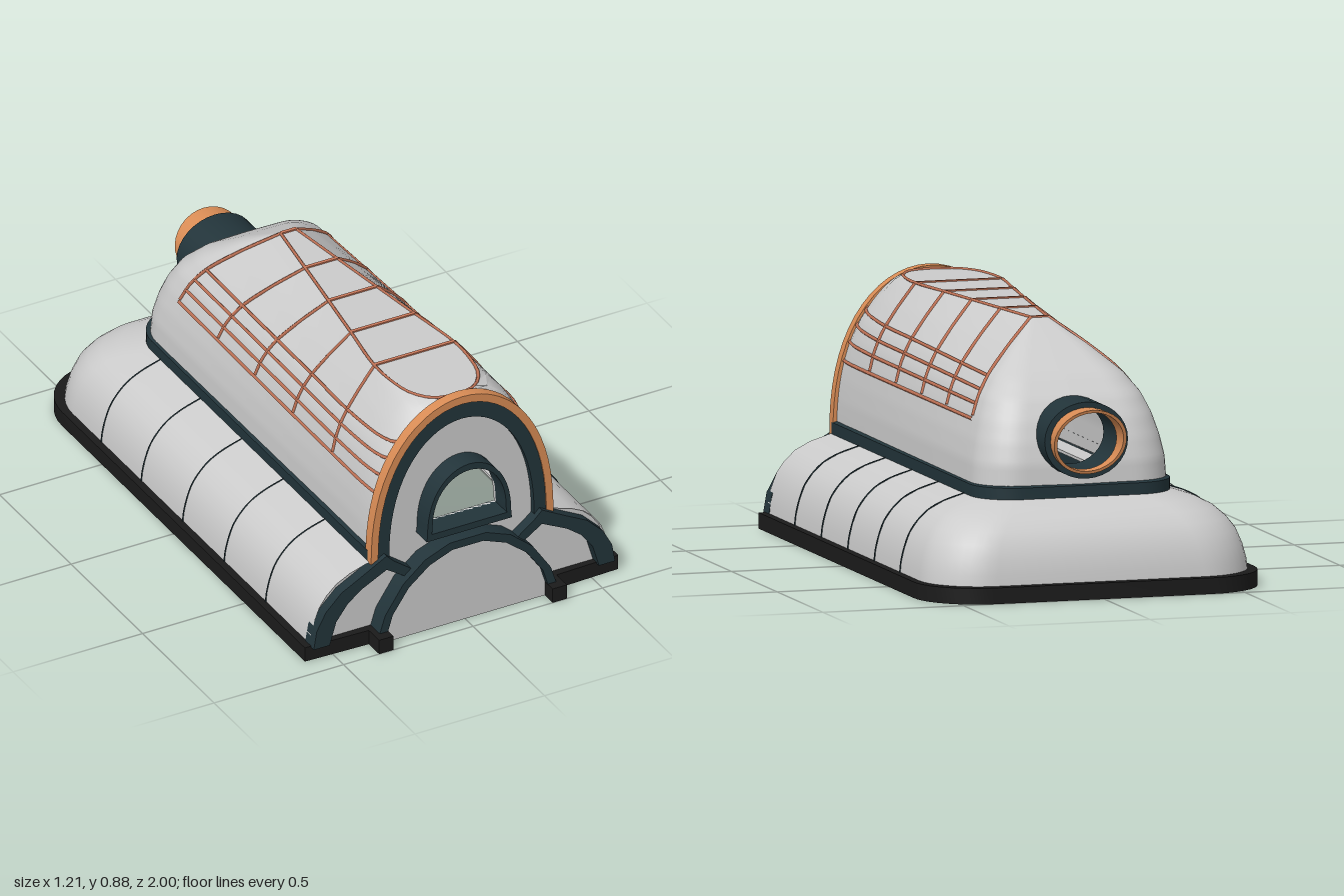
import * as THREE from 'three';
import { toCreasedNormals } from 'three/addons/utils/BufferGeometryUtils.js';

const mat = (color) => new THREE.MeshStandardMaterial({ color, side: THREE.DoubleSide });
const GREY = mat(0xcccccc), DARK = mat(0x22343a), BLACK = mat(0x1b1b1b);
const ORANGE = mat(0xd98c55), RIB = mat(0xc9785a);
const lerp = THREE.MathUtils.lerp;
const V = (x, y, z) => new THREE.Vector3(x, y, z);

export function createModel() {
  const model = new THREE.Group();
  const add = (name, geo, material) => {
    const m = new THREE.Mesh(geo, material);
    m.name = name;
    model.add(m);
    return m;
  };

  // Surface through rows of points, optionally skipping triangles
  const loft = (rows, skip = () => false, crease = 0.45) => {
    const pos = [];
    const tri = (a, b, c) => {
      const mid = a.clone().add(b).add(c).divideScalar(3);
      if (!skip(mid)) for (const p of [a, b, c]) pos.push(p.x, p.y, p.z);
    };
    for (let i = 0; i < rows.length - 1; i++)
      for (let j = 0; j < rows[i].length - 1; j++) {
        tri(rows[i][j], rows[i][j + 1], rows[i + 1][j]);
        tri(rows[i][j + 1], rows[i + 1][j + 1], rows[i + 1][j]);
      }
    const g = new THREE.BufferGeometry();
    g.setAttribute('position', new THREE.Float32BufferAttribute(pos, 3));
    return toCreasedNormals(g, crease);
  };

  // 2D helpers: a half line from the right foot to the middle, mirrored to the left
  const mirror = (half) => [...half, ...half.map(([x, y]) => [-x, y]).reverse()];
  const shape = (pts) => new THREE.Shape(pts.map(([x, y]) => new THREE.Vector2(x, y)));
  const plate = (pts, z0, z1, hole) => {
    const s = shape(pts);
    if (hole) s.holes.push(shape(hole));
    const g = new THREE.ExtrudeGeometry(s, { depth: z1 - z0, bevelEnabled: false });
    return toCreasedNormals(g.translate(0, 0, z0), 0.5);
  };
  const band = (outer, inner, z0, z1) => plate([...mirror(outer), ...mirror(inner).reverse()], z0, z1);
  const arch = (hw, top, base, n = 16) => Array.from({ length: n + 1 }, (_, i) => {
    const t = Math.sin((i / n) * Math.PI / 2);
    return [hw * Math.sqrt(Math.max(0, 1 - t ** 2.3)), base + (top - base) * t];
  });

  // Plan outline as [x, z], from the right front corner round the back to the left
  const outline = (hw, front, back, r) => {
    const half = [];
    for (let i = 0; i < 8; i++) half.push([hw, lerp(front, back + r, i / 8)]);
    for (let i = 0; i <= 10; i++) {
      const a = (i / 10) * Math.PI / 2;
      half.push([hw - r + r * Math.cos(a), back + r - r * Math.sin(a)]);
    }
    return mirror(half);
  };

  // Curved skirt
  const skirtProfile = [[0, 0.04], [0.02, 0.09], [0.07, 0.14], [0.15, 0.19], [0.27, 0.23],
    [0.43, 0.265], [0.65, 0.292], [1, 0.318]];
  const low = outline(0.58, 0.91, -0.965, 0.21), high = outline(0.342, 0.91, -0.755, 0.15);
  add('skirt', loft(skirtProfile.map(([k, y]) =>
    low.map(([x, z], i) => V(lerp(x, high[i][0], k), y, lerp(z, high[i][1], k)))), undefined, 0.8), GREY);
  const line = (name, pts, r, material) => add(name,
    new THREE.TubeGeometry(new THREE.CatmullRomCurve3(pts, false, 'centripetal'), pts.length * 4, r, 4), material);
  for (const z of [-0.55, -0.27, 0.02, 0.31, 0.6])
    for (const s of [-1, 1])
      line('skirtSeam', skirtProfile.map(([k, y]) => V(s * lerp(0.581, 0.343, k), y, z)), 0.003, DARK);

  // Base rim, open in the middle of the front
  const rimPts = [[0.31, 0.93], ...outline(0.605, 0.92, -1, 0.22), [-0.31, 0.93],
    [-0.31, 0.88], ...outline(0.565, 0.88, -0.96, 0.19).reverse(), [0.31, 0.88]];
  const rim = plate(rimPts.map(([x, z]) => [x, -z]), 0, 0.055);
  add('baseRim', rim.rotateX(-Math.PI / 2), BLACK);
  for (const s of [-1, 1])
    add('rimFoot', new THREE.BoxGeometry(0.055, 0.055, 0.12), BLACK).position.set(s * 0.335, 0.0275, 0.94);

  // Floor flange inside the hull
  const flange = plate(outline(0.34, 0.9, -0.75, 0.15).map(([x, z]) => [x, -z]), 0.305, 0.315,
    outline(0.27, 0.83, -0.66, 0.08).map(([x, z]) => [x, -z]));
  add('floorFlange', flange.rotateX(-Math.PI / 2), GREY);

  // Dark belt between skirt and hull
  const belt = [[0.342, 0.31], [0.352, 0.315], [0.352, 0.355], [0.338, 0.36]];
  add('belt', loft(belt.map(([w, y]) => outline(w, 0.9, -0.41 - w, 0.15).map(([x, z]) => V(x, y, z)))), DARK);

  // Hull columns: base x, base z, top x, top z, share of arched front profile
  const cols = [
    [0.338, 0.9, 0, 0.885, 1], [0.339, 0.86, 0.08, 0.865, 0.7], [0.34, 0.8, 0.13, 0.8, 0.4],
    [0.34, 0.72, 0.15, 0.71, 0.15], [0.34, 0.59, 0.154, 0.59, 0], [0.342, 0.3, 0.123, 0.37, 0],
    [0.343, 0.02, 0.093, 0.16, 0], [0.344, -0.25, 0.062, -0.06, 0], [0.345, -0.53, 0.03, -0.29, 0]];
  const panelEnd = cols.length - 1;
  for (let i = 0; i <= 10; i++) {
    const a = (i / 10) * Math.PI / 2, x = 0.195 + 0.15 * Math.cos(a);
    cols.push([x, -0.6 - 0.15 * Math.sin(a), 0.08 * x, -0.295, 0]);
  }
  for (let i = 1; i <= 12; i++) {
    const x = 0.195 * (1 - i / 12);
    cols.push([x, -0.755 + 0.005 * (x / 0.195), 0.08 * x, -0.295, 0]);
  }
  const bulge = [[0, 0], [0.2, 0.02], [0.33, 0.065], [0.46, 0.13], [0.58, 0.22], [0.7, 0.37], [0.85, 0.66], [1, 1]];
  const inset = (s) => {
    let i = 1;
    while (i < bulge.length - 1 && s > bulge[i][0]) i++;
    const [a, ga] = bulge[i - 1], [b, gb] = bulge[i];
    return lerp(ga, gb, (s - a) / (b - a));
  };
  const hullPoint = ([bx, bz, tx, tz, e], s, side = 1) => {
    const g = lerp(inset(s), 1 - Math.sqrt(Math.max(0, 1 - s ** 2.3)), e);
    return V(side * lerp(bx, tx, g), 0.32 + 0.545 * s, lerp(bz, tz, g));
  };
  const hullRows = [];
  for (let i = 0; i <= 36; i++) {
    const s = i / 36;
    hullRows.push([...cols.map((c) => hullPoint(c, s)),
      ...cols.map((c) => hullPoint(c, s, -1)).reverse().slice(1)]);
  }
  const PIPE_Y = 0.515, PIPE_WIDEN = 1.13;
  add('hull', loft(hullRows, (p) => p.z < -0.5 && Math.hypot(p.x / PIPE_WIDEN, p.y - PIPE_Y) < 0.118), GREY);
  const roof = new THREE.ShapeGeometry(shape(mirror(cols.slice(0, panelEnd + 1).map((c) => [c[2], -c[3]])).slice(1)));
  add('roofPanel', roof.rotateX(-Math.PI / 2).translate(0, 0.865, 0), GREY);

  // Orange glazing ribs: long lines, roof edge, and bars across
  for (const side of [-1, 1]) {
    const panel = cols.slice(0, panelEnd + 1);
    for (const [s0, s1] of [[0.45, 0.44], [0.57, 0.53], [0.68, 0.61], [0.78, 0.69]])
      line('longRib', panel.map((c, i) => hullPoint(c, lerp(s0, s1, i / panelEnd), side)), 0.007, RIB);
    line('roofEdgeRib', panel.map((c) => hullPoint(c, 1, side)), 0.006, RIB);
    for (let i = 4; i <= panelEnd; i++)
      line('sideRib', bulge.slice(3).map(([s]) => hullPoint(cols[i], s, side)), 0.007, RIB);
  }
  for (let i = 4; i <= panelEnd; i++)
    add('roofRib', new THREE.BoxGeometry(2 * cols[i][2], 0.01, 0.013), RIB).position.set(0, 0.865, cols[i][3]);

  // Front wall with an arched window
  const windowShape = (w, top, base) => mirror([[w, base], ...arch(w * 0.98, top, base + 0.02, 12)]);
  const windowHole = windowShape(0.145, 0.612, 0.398);
  const wall = [[0.575, 0.01], ...skirtProfile.map(([k, y]) => [lerp(0.575, 0.338, k), y]), ...arch(0.336, 0.86, 0.33)];
  add('frontWall', plate(mirror(wall), 0.885, 0.9, windowHole), GREY);
  add('windowFrame', plate(windowShape(0.165, 0.637, 0.373), 0.885, 0.975, windowHole), DARK);

  // Arch trims
  add('outerArchTrim', band(arch(0.352, 0.878, 0.31), arch(0.325, 0.848, 0.31), 0.885, 0.925), ORANGE);
  add('innerArchTrim', band(arch(0.326, 0.849, 0.31), arch(0.28, 0.788, 0.31), 0.88, 0.921), DARK);

  // Skirt end trims and their struts
  const skirtTrim = [[0.582, 0.05], [0.57, 0.12], [0.535, 0.185], [0.475, 0.245], [0.4, 0.285], [0.3, 0.34],
    [0.27, 0.31], [0.19, 0.25], [0.22, 0.232], [0.3, 0.285], [0.395, 0.237], [0.45, 0.195], [0.495, 0.135], [0.52, 0.05]];
  for (const s of [-1, 1])
    add('skirtTrim', plate(skirtTrim.map(([x, y]) => [s * x, y]), 0.88, 0.94), DARK);

  // Faceted front bay
  const bayOuter = [[0.342, 0.05], [0.32, 0.12], [0.25, 0.225], [0.165, 0.297], [0.07, 0.335]];
  const bayInner = [[0.31, 0.05], [0.29, 0.115], [0.228, 0.205], [0.148, 0.27], [0.06, 0.305]];
  add('bayTrim', band(bayOuter, bayInner, 0.88, 0.965), DARK);
  add('bayFace', plate(mirror([[0.31, 0], ...bayInner]), 0.9, 0.945), GREY);

  // Rear pipe with a slanted orange lip
  const ring = (r0, r1, z0, z1, flare = 0) => {
    const p = [[r0, z0], [r1, z0], [r1 + flare, z1], [r0 + flare, z1], [r0, z0]];
    const g = new THREE.LatheGeometry(p.map(([r, z]) => new THREE.Vector2(r, -z)), 32);
    return g.rotateX(-Math.PI / 2).scale(PIPE_WIDEN, 1, 1);
  };
  add('rearPipe', toCreasedNormals(ring(0.104, 0.131, -0.63, -0.805), 0.6), DARK).position.y = PIPE_Y;
  const lip = ring(0.102, 0.112, -0.78, -0.85, 0.002), lp = lip.attributes.position;
  for (let i = 0; i < lp.count; i++)
    if (lp.getZ(i) < -0.82) lp.setZ(i, -0.85 - 0.3 * lp.getY(i));
  add('pipeLip', toCreasedNormals(lip, 0.6), ORANGE).position.y = PIPE_Y;

  return model;
}
